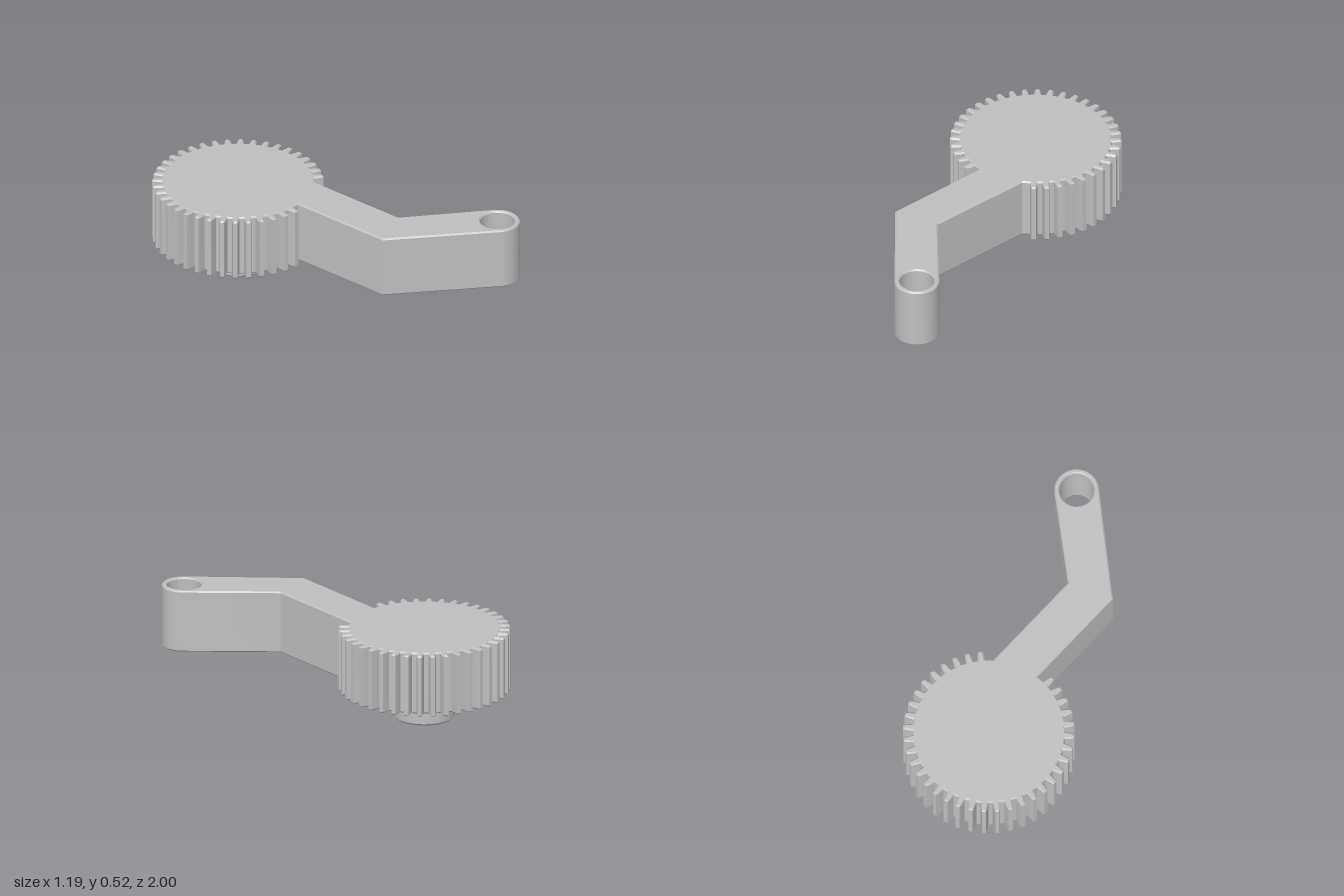
import * as THREE from 'three';
import { toCreasedNormals } from 'three/addons/utils/BufferGeometryUtils.js';

const TEETH = 40, FIRST = 5;            // the first five tooth slots are taken by the arm
const GEAR = { x: -0.12, z: -0.52 };    // gear axis
const EYE = { x: 0.47, z: 0.873 };      // axis of the hole at the arm's end
const BOTTOM = 0.165, TOP = 0.525, BEVEL = 0.008;

// Outline of gear and arm together, counter-clockwise in (x, -z)
function outline() {
  const pts = [];
  const polar = (r, a) => pts.push(new THREE.Vector2(
    GEAR.x + r * Math.cos(a), -GEAR.z + r * Math.sin(a)));

  // gear teeth: [radius, half width] from root to tip and back
  const flank = [[0.425, 0.021], [0.455, 0.0175], [0.478, 0.012]];
  for (let k = FIRST; k < TEETH; k++) {
    const a = -Math.PI / 2 + 0.044 + (k * 2 * Math.PI) / TEETH;
    for (const [r, w] of flank) polar(r, a - w / r);
    for (const [r, w] of [...flank].reverse()) polar(r, a + w / r);
  }

  // outer side of the arm
  pts.push(new THREE.Vector2(-0.106, 0.096), new THREE.Vector2(-0.11, -0.527));
  // rounded end
  for (let i = 0; i <= 28; i++) {
    const a = THREE.MathUtils.degToRad(-130 + (180 * i) / 28);
    pts.push(new THREE.Vector2(EYE.x + 0.125 * Math.cos(a), -EYE.z + 0.125 * Math.sin(a)));
  }
  // inner side of the arm
  pts.push(new THREE.Vector2(0.14, -0.43), new THREE.Vector2(0.145, 0.188));
  return pts;
}

export function createModel() {
  const group = new THREE.Group();
  const grey = new THREE.MeshStandardMaterial({ color: 0xbfbfbf });
  grey.name = 'grey';

  // Toothed wheel with its cranked arm, chamfered on all edges
  const shape = new THREE.Shape(outline());
  const hole = new THREE.Path();
  hole.absarc(EYE.x, -EYE.z, 0.096, 0, Math.PI * 2, true);
  shape.holes.push(hole);
  const body = new THREE.ExtrudeGeometry(shape, {
    depth: TOP - BOTTOM - 2 * BEVEL,
    bevelThickness: BEVEL, bevelSize: BEVEL, bevelOffset: -BEVEL, bevelSegments: 1,
    curveSegments: 24,
  });
  body.rotateX(-Math.PI / 2);
  body.translate(0, BOTTOM + BEVEL, 0);
  const gearArm = new THREE.Mesh(toCreasedNormals(body, 0.5), grey);
  gearArm.name = 'gearAndArm';
  group.add(gearArm);

  // Hub below the wheel, with a blind bore and a flared top
  const profile = [
    [0, 0.155], [0.047, 0.155], [0.047, 0.01], [0.057, 0], [0.16, 0],
    [0.172, 0.012], [0.172, 0.152], [0.186, 0.168],
  ].map(([r, y]) => new THREE.Vector2(r, y));
  const hub = new THREE.Mesh(
    toCreasedNormals(new THREE.LatheGeometry(profile, 48), 0.5), grey);
  hub.name = 'hub';
  hub.position.set(GEAR.x, 0, GEAR.z);
  group.add(hub);

  return group;
}
